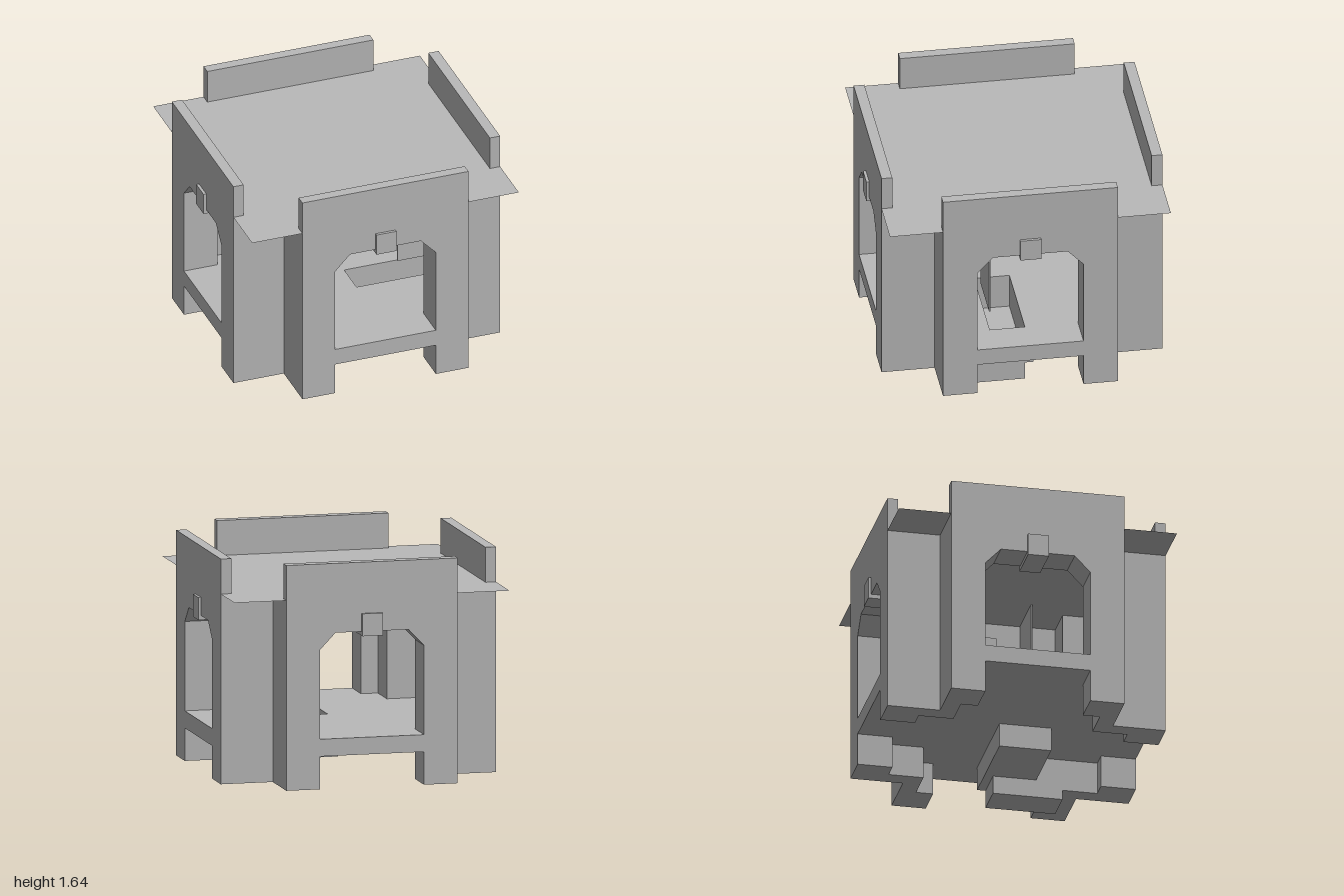
import * as THREE from 'three';

export function createModel() {
  const model = new THREE.Group();
  model.name = 'archedPavilion';
  const stone = new THREE.MeshStandardMaterial({ color: 0xb9b9b9 });
  stone.name = 'greyStone';
  const stoneSheet = new THREE.MeshStandardMaterial({ color: 0xb9b9b9, side: THREE.DoubleSide });
  stoneSheet.name = 'greyStone';

  const add = (parent, name, geometry, material = stone) => {
    const mesh = new THREE.Mesh(geometry, material);
    mesh.name = name;
    parent.add(mesh);
    return mesh;
  };
  // box from its minimum and maximum corners
  const box = (parent, name, x0, x1, y0, y1, z0, z1) => {
    const g = new THREE.BoxGeometry(x1 - x0, y1 - y0, z1 - z0);
    g.translate((x0 + x1) / 2, (y0 + y1) / 2, (z0 + z1) / 2);
    return add(parent, name, g);
  };
  const toShape = (pts) => new THREE.Shape(pts.map(([x, y]) => new THREE.Vector2(x, y)));
  // plan shape (x, -z) raised from y0 to y1
  const raise = (shape, y0, y1) => {
    const g = new THREE.ExtrudeGeometry(shape, { depth: y1 - y0, bevelEnabled: false });
    g.rotateX(-Math.PI / 2);
    g.translate(0, y0, 0);
    return g;
  };

  // stepped corner column, notched on its outer corner
  const columnGeo = raise(toShape([
    [0.37, 0.98], [0.61, 0.98], [0.61, 0.61], [0.98, 0.61], [0.98, 0.37],
    [0.735, 0.37], [0.735, 0.49], [0.49, 0.49], [0.49, 0.735], [0.37, 0.735],
  ]), 0.07, 1.4);

  // lintel with chamfered arch corners
  const lintelGeo = new THREE.ExtrudeGeometry(toShape([
    [-0.37, 1.4], [-0.37, 1.045], [-0.26, 1.16], [0.26, 1.16], [0.37, 1.045], [0.37, 1.4],
  ]), { depth: 0.245, bevelEnabled: false });
  lintelGeo.translate(0, 0, 0.735);

  // four identical sides
  for (let i = 0; i < 4; i++) {
    const side = new THREE.Group();
    side.name = 'wallSide';
    side.rotation.y = i * Math.PI / 2;
    add(side, 'cornerColumn', columnGeo);
    add(side, 'archLintel', lintelGeo);
    box(side, 'parapet', -0.61, 0.61, 1.4, 1.645, 0.905, 0.98);
    box(side, 'keystone', -0.073, 0.073, 1.13, 1.287, 0.715, 1.0);
    model.add(side);
  }

  // cross-shaped floor with a stairwell hole
  const a = 0.5, b = 0.98;
  const floor = toShape([
    [a, -b], [a, -a], [b, -a], [b, a], [a, a], [a, b],
    [-a, b], [-a, a], [-b, a], [-b, -a], [-a, -a], [-a, -b],
  ]);
  // keep the floor inside the notched corners
  floor.holes.push(new THREE.Path([
    [0.06, -0.245], [0.06, 0], [0.735, 0], [0.735, -0.245],
  ].map(([x, y]) => new THREE.Vector2(x, y))));
  add(model, 'floor', raise(floor, 0.3, 0.42));

  // thin flat roof sheet
  const roof = new THREE.PlaneGeometry(1.96, 1.96);
  roof.rotateX(-Math.PI / 2);
  roof.translate(0, 1.4, 0);
  add(model, 'roof', roof, stoneSheet);

  // stairwell box below the floor
  box(model, 'stairwellBackWall', 0, 0.735, 0.13, 0.3, -0.06, 0);
  box(model, 'stairwellFrontWall', 0, 0.735, 0.13, 0.3, 0.245, 0.305);
  box(model, 'stairwellEndWall', 0, 0.06, 0.13, 0.3, 0, 0.245);
  box(model, 'stairwellOuterWall', 0.715, 0.735, 0.13, 0.3, 0, 0.245);
  box(model, 'stairwellBase', 0.06, 0.715, 0.13, 0.17, 0, 0.245);

  // bottom step and its landing
  box(model, 'bottomStep', 0.49, 0.735, 0, 0.13, 0, 0.49);
  box(model, 'landingBlock', 0.49, 0.735, 0.13, 0.3, 0.305, 0.49);

  // hanging partition panel beside the stairwell
  box(model, 'hangingPanel', 0.36, 0.735, 0.57, 1.4, 0.241, 0.25);

  return model;
}
